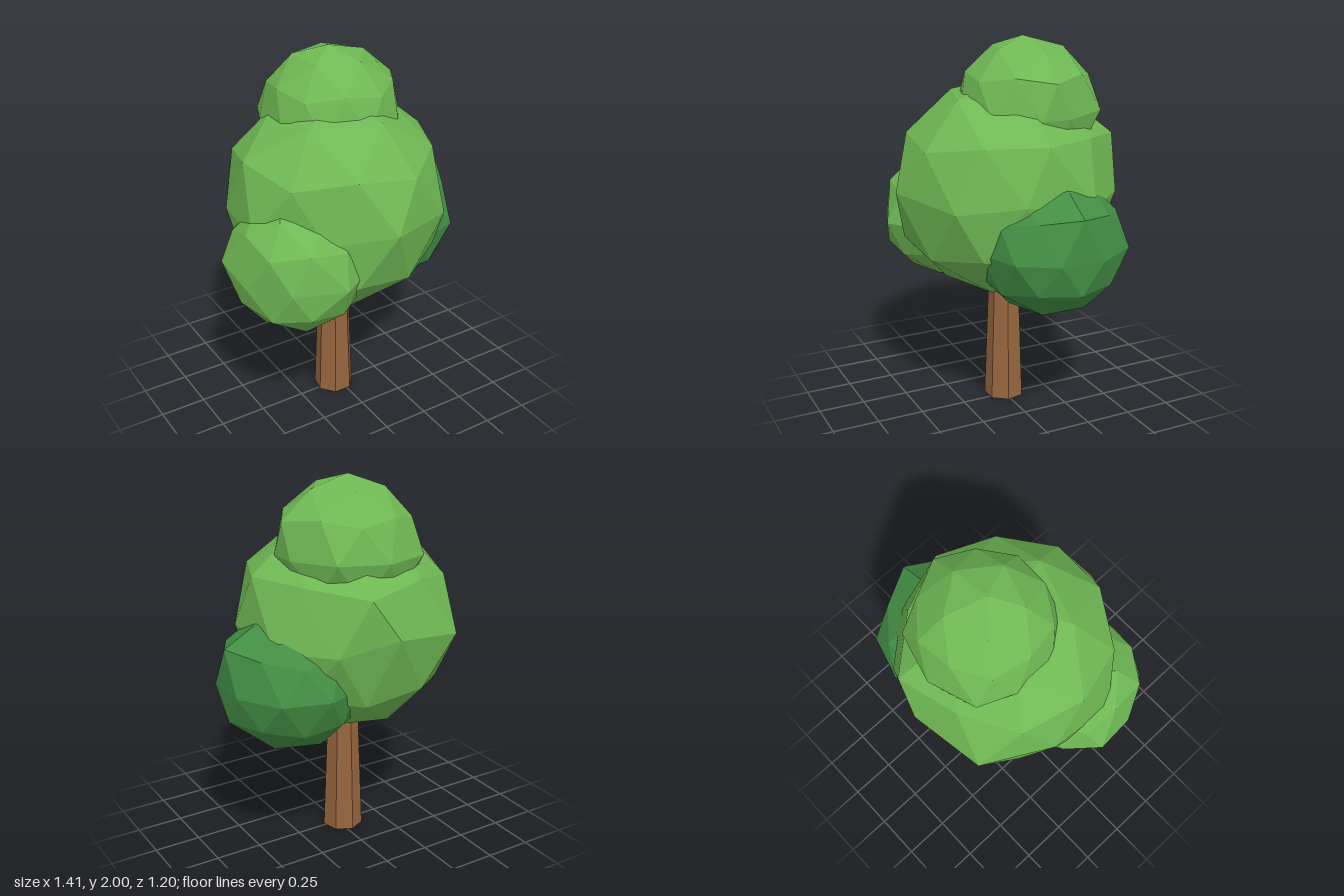
import * as THREE from 'three';

// Icosphere with a corner at the top and bottom; each tug pulls the nearest corner to a given point
function foliage(name, material, centre, scale, tugs) {
  const geo = new THREE.IcosahedronGeometry(1, 1);
  geo.rotateX(-Math.atan((1 + Math.sqrt(5)) / 2));
  geo.rotateY(Math.PI / 2);
  geo.scale(...scale);
  geo.translate(...centre);

  const pos = geo.attributes.position;
  const v = new THREE.Vector3();
  for (const tug of tugs) {
    const target = new THREE.Vector3(...tug);
    const nearest = new THREE.Vector3(Infinity, 0, 0);
    for (let i = 0; i < pos.count; i++) {
      v.fromBufferAttribute(pos, i);
      if (v.distanceTo(target) < nearest.distanceTo(target)) nearest.copy(v);
    }
    for (let i = 0; i < pos.count; i++) {
      v.fromBufferAttribute(pos, i);
      if (v.distanceTo(nearest) < 1e-4) pos.setXYZ(i, ...tug);
    }
  }
  geo.computeVertexNormals(); // unshared corners give flat facets
  const mesh = new THREE.Mesh(geo, material);
  mesh.name = name;
  return mesh;
}

export function createModel() {
  const tree = new THREE.Group();
  tree.name = 'tree';

  const bark = new THREE.MeshStandardMaterial({ color: 0x96663f });
  bark.name = 'bark brown';
  const leaf = new THREE.MeshStandardMaterial({ color: 0x6fb854 });
  leaf.name = 'leaf green';
  const darkLeaf = new THREE.MeshStandardMaterial({ color: 0x438f44 });
  darkLeaf.name = 'dark leaf green';

  // Seven-sided tapering trunk, running up into the crown
  const trunkGeo = new THREE.CylinderGeometry(0.077, 0.11, 0.9, 7).rotateY(Math.PI).toNonIndexed();
  trunkGeo.computeVertexNormals();
  const trunk = new THREE.Mesh(trunkGeo, bark);
  trunk.name = 'trunk';
  trunk.position.set(-0.028, 0.45, -0.01);
  tree.add(trunk);

  // Main crown
  tree.add(foliage('mainCrown', leaf, [-0.03, 1.21, 0], [0.59, 0.58, 0.59], [
    [0.53, 1.24, 0.14], [0.36, 1.2, 0.44], [-0.03, 1.24, 0.6], [-0.34, 1.2, 0.44],
    [-0.6, 1.2, 0.16], [-0.57, 1.21, -0.18], [-0.38, 1.22, -0.53], [0.01, 1.27, -0.6],
    [0.3, 1.2, -0.5], [0.52, 1.2, -0.25],
    [0.5, 1.52, 0], [-0.55, 1.53, 0], [0.15, 1.48, -0.56], [-0.02, 0.63, 0.02],
  ]));

  // Top clump
  tree.add(foliage('topClump', leaf, [0.02, 1.63, -0.11], [0.37, 0.37, 0.37], [
    [0, 2, -0.1], [0.38, 1.8, -0.1], [0, 1.62, -0.49], [-0.25, 1.62, -0.41],
    [0.26, 1.63, -0.42], [0.38, 1.62, -0.18], [0.38, 1.62, -0.02],
  ]));

  // Dark clump on the left side
  tree.add(foliage('leftClump', darkLeaf, [0.335, 0.98, -0.085], [0.385, 0.37, 0.39], [
    [0.7, 0.98, -0.2], [0.7, 0.98, 0.04], [0.58, 0.98, 0.23], [0.57, 0.98, -0.42],
    [0.7, 1.2, -0.08], [0.69, 0.81, -0.08], [0.33, 0.98, -0.49],
  ]));

  // Front clump on the right side
  tree.add(foliage('rightClump', leaf, [-0.36, 1.01, 0.18], [0.36, 0.36, 0.37], [
    [-0.71, 1.04, 0.03], [-0.69, 0.98, 0.25], [-0.55, 1.0, 0.47], [-0.29, 1.0, 0.56],
    [-0.45, 1.37, 0.17], [-0.64, 1.23, 0.17], [-0.68, 0.86, 0.17], [-0.31, 0.65, 0.18],
  ]));

  return tree;
}
